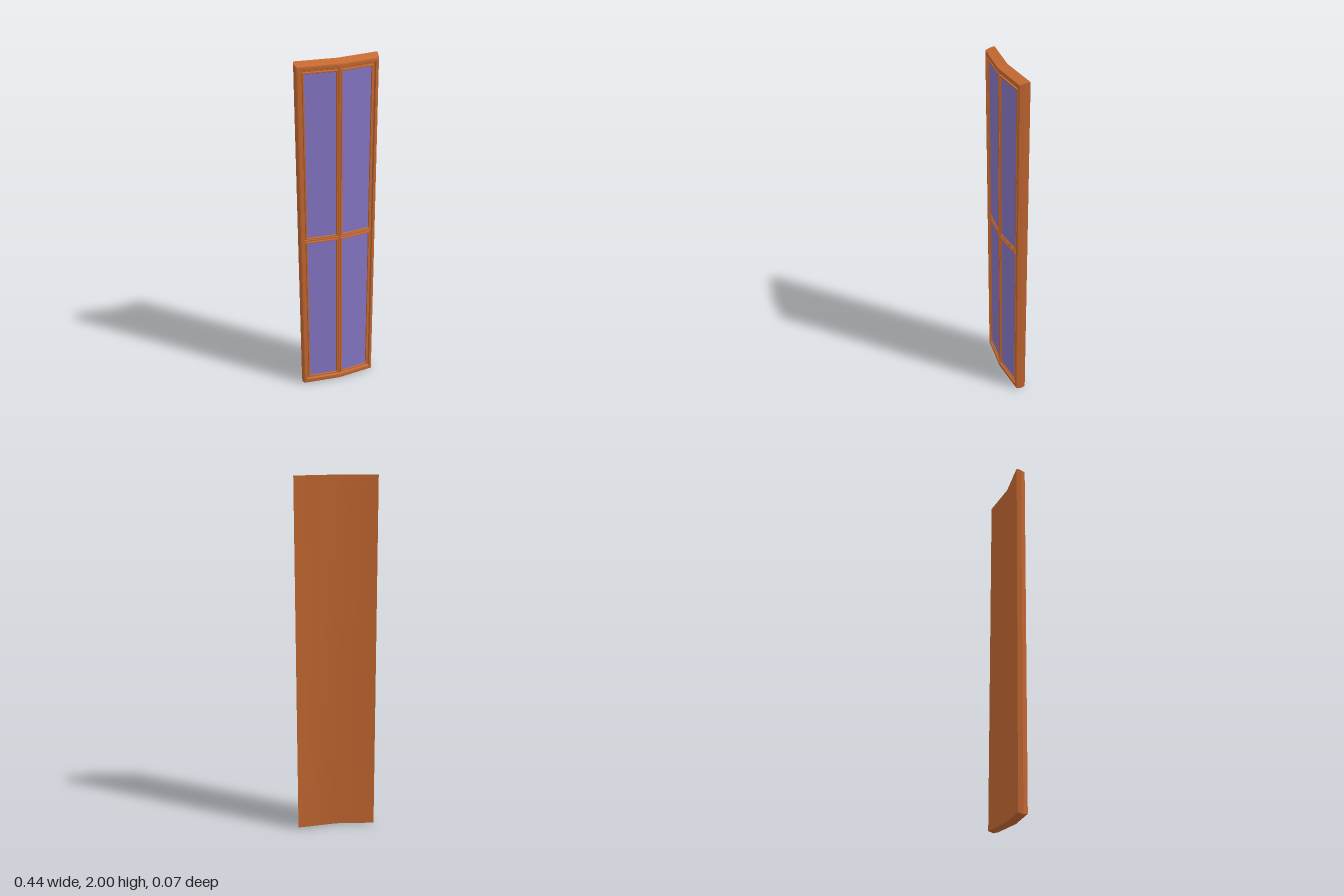
import * as THREE from 'three';

const wood = new THREE.MeshStandardMaterial({ color: 0xc86a32 });
const glass = new THREE.MeshStandardMaterial({ color: 0x8878c8 });

// Fold the flat panel backwards on both sides of its centre line.
function bend(geometry) {
  const p = geometry.attributes.position;
  for (let i = 0; i < p.count; i++) p.setZ(i, p.getZ(i) - 0.098 * Math.abs(p.getX(i)));
  geometry.computeVertexNormals();
  return geometry;
}

// Moulding swept through rectangles [x0, x1, y0, y1, z], from back to front and inwards.
function moulding(rects) {
  const loops = rects.map(([x0, x1, y0, y1, z]) => {
    const mid = x0 < 0 && x1 > 0 ? 0 : (x0 + x1) / 2;
    return [[x0, y0, z], [mid, y0, z], [x1, y0, z], [x1, y1, z], [mid, y1, z], [x0, y1, z]];
  });
  const pos = [];
  for (let i = 0; i < loops.length - 1; i++) {
    for (let k = 0; k < 6; k++) {
      const n = (k + 1) % 6;
      const a = loops[i][k], b = loops[i][n], c = loops[i + 1][n], d = loops[i + 1][k];
      pos.push(...a, ...b, ...c, ...a, ...c, ...d);
    }
  }
  const g = new THREE.BufferGeometry();
  g.setAttribute('position', new THREE.Float32BufferAttribute(pos, 3));
  return bend(g);
}

// Flat sheet split on the centre line, facing the front or the back.
function sheet(x0, x1, y0, y1, z, faceBack = false) {
  const g = new THREE.PlaneGeometry(x1 - x0, y1 - y0, 2, 1);
  if (faceBack) g.rotateY(Math.PI);
  g.translate((x0 + x1) / 2, (y0 + y1) / 2, z);
  const p = g.attributes.position;
  // keep the fold exactly at x = 0 on full-width sheets
  if (x0 < 0 && x1 > 0) {
    for (let i = 0; i < p.count; i++) if (Math.abs(p.getX(i)) < 0.01) p.setX(i, 0);
  }
  return bend(g);
}

function bar(x0, x1, y0, y1, z0, z1) {
  const g = new THREE.BoxGeometry(x1 - x0, y1 - y0, z1 - z0, 2, 1, 1).toNonIndexed();
  g.translate((x0 + x1) / 2, (y0 + y1) / 2, (z0 + z1) / 2);
  return bend(g);
}

export function createModel() {
  const group = new THREE.Group();
  const add = (name, geometry, material = wood) => {
    const mesh = new THREE.Mesh(geometry, material);
    mesh.name = name;
    group.add(mesh);
  };

  // Outer frame with bevelled sides, raised lip and inner groove
  add('outerFrame', moulding([
    [-0.217, 0.221, 0.01, 2, -0.016],
    [-0.222, 0.216, 0, 1.993, 0.01],
    [-0.217, 0.21, 0.005, 1.987, 0.033],
    [-0.212, 0.206, 0.01, 1.982, 0.035],
    [-0.2, 0.195, 0.03, 1.968, 0.035],
    [-0.196, 0.191, 0.034, 1.962, 0.022],
  ]));
  add('backPanel', sheet(-0.217, 0.221, 0.01, 2, -0.016, true));
  add('grooveFloor', sheet(-0.197, 0.192, 0.033, 1.963, 0.022));

  // Glazing bars
  add('verticalBar', bar(-0.004, 0.004, 0.034, 1.962, 0.02, 0.031));
  add('crossBar', bar(-0.194, 0.19, 0.995, 1.003, 0.02, 0.03));

  // Four panes, each in its own thin moulding
  for (const [x0, x1] of [[-0.188, -0.008], [0.006, 0.183]]) {
    for (const [y0, y1] of [[0.041, 0.991], [1.006, 1.955]]) {
      const ring = (inset, z) => [x0 + inset, x1 - inset, y0 + inset, y1 - inset, z];
      add('paneMoulding', moulding([
        ring(0, 0.021), ring(0.002, 0.03), ring(0.008, 0.03), ring(0.011, 0.024),
      ]));
      add('pane', sheet(x0 + 0.01, x1 - 0.01, y0 + 0.01, y1 - 0.01, 0.0245), glass);
    }
  }

  // Centre the depth
  group.position.z = 0;
  return group;
}
